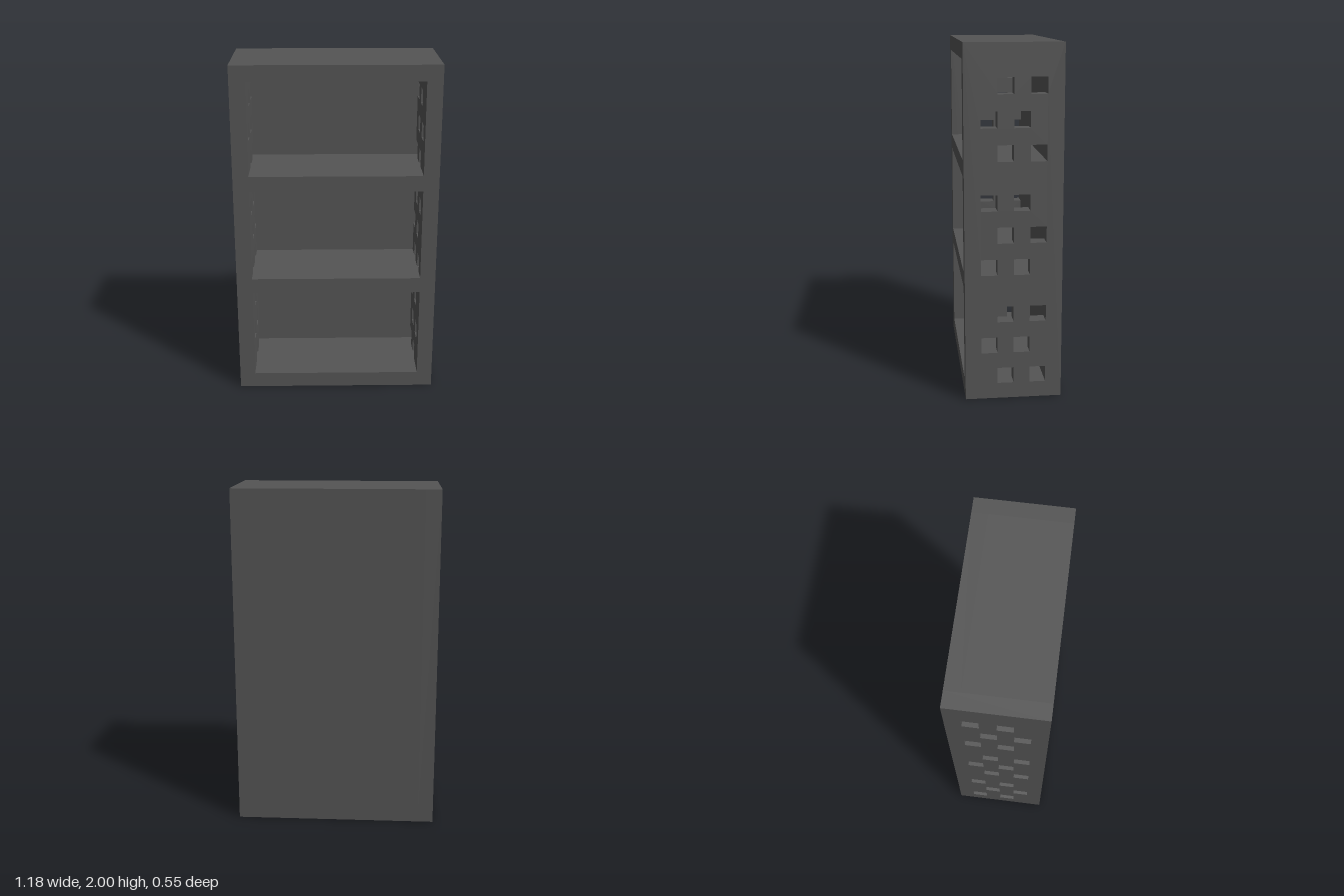
import * as THREE from 'three';

// Everything sits on a grid: 13 wide, 22 high, 6 deep.
const U = 1 / 11;
const W = 13, H = 22, D = 6;

// Counter-clockwise rectangle from its lower corner, in grid units.
function rectangle(path, x, y, w, h) {
  path.moveTo(x * U, y * U);
  path.lineTo((x + w) * U, y * U);
  path.lineTo((x + w) * U, (y + h) * U);
  path.lineTo(x * U, (y + h) * U);
  path.closePath();
  return path;
}

export function createModel() {
  const model = new THREE.Group();
  model.name = 'bookcase';
  const charcoal = new THREE.MeshStandardMaterial({ color: 0x555555 });
  charcoal.name = 'charcoal';

  function add(name, geometry, x, y, z) {
    const mesh = new THREE.Mesh(geometry, charcoal);
    mesh.name = name;
    mesh.position.set(x * U, y * U, z * U);
    model.add(mesh);
  }

  // Side panels, pierced by staggered pairs of square holes
  const side = rectangle(new THREE.Shape(), -D / 2, 0, D, H);
  [1, 3, 5, 8, 10, 12, 15, 17, 19].forEach((y, row) => {
    const shift = row % 2;
    for (const z of [-2, 0]) {
      side.holes.push(rectangle(new THREE.Path(), z + shift, y, 1, 1));
    }
  });
  const sideGeometry = new THREE.ExtrudeGeometry(side, { depth: U, bevelEnabled: false });
  sideGeometry.rotateY(-Math.PI / 2);
  add('leftSide', sideGeometry, W / 2, 0, 0);
  add('rightSide', sideGeometry, -W / 2 + 1, 0, 0);

  // Back panel between the sides
  add('backPanel', new THREE.BoxGeometry((W - 2) * U, H * U, U), 0, H / 2, -D / 2 + 0.5);

  // Base, two shelves and top, in front of the back panel
  const shelfGeometry = new THREE.BoxGeometry((W - 2) * U, U, (D - 1) * U);
  ['base', 'lowerShelf', 'upperShelf', 'top'].forEach((name, i) => {
    add(name, shelfGeometry, 0, i * 7 + 0.5, 0.5);
  });

  return model;
}
